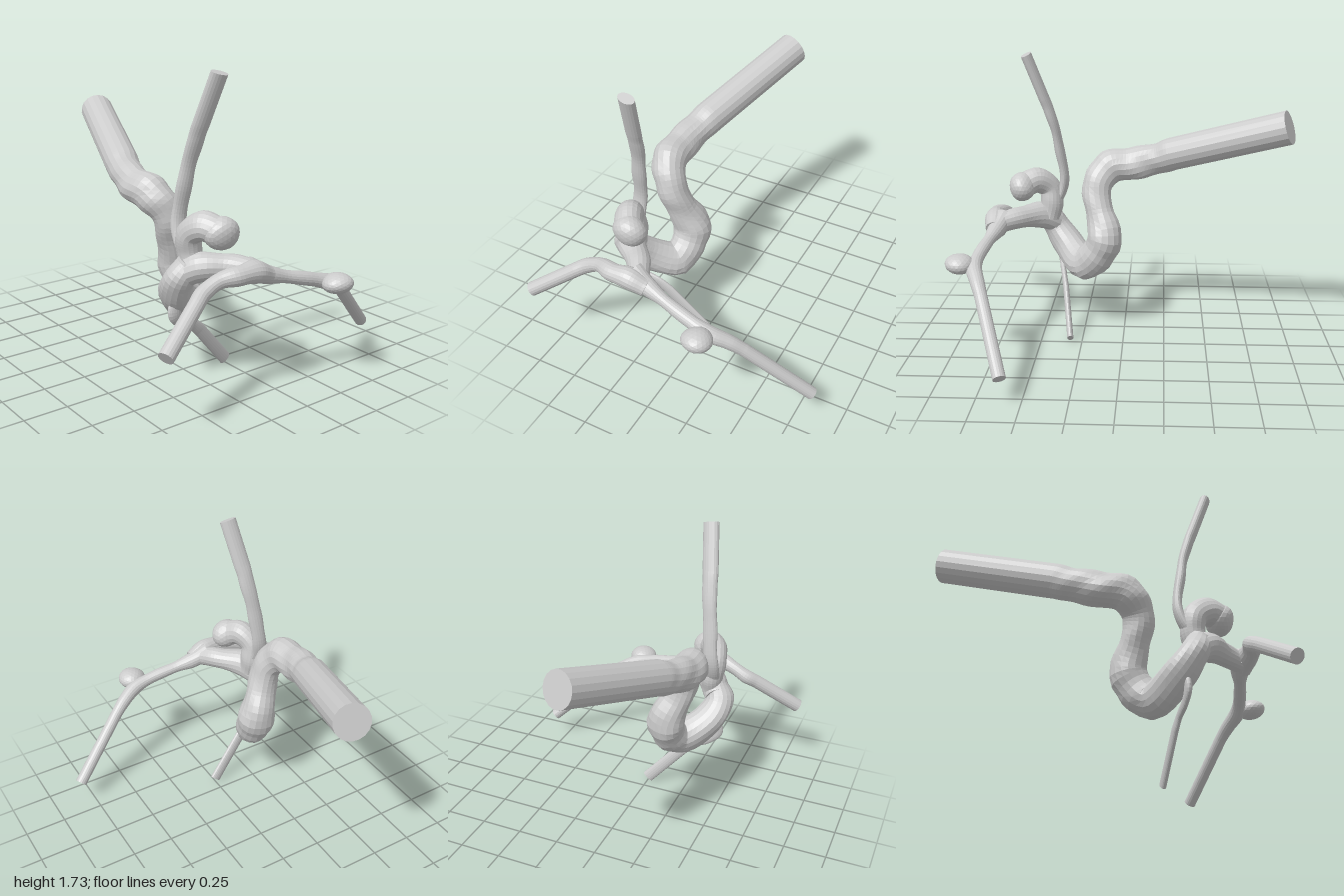
import * as THREE from 'three';

const material = new THREE.MeshStandardMaterial({ color: 0xcccccc, flatShading: true });
const SIDES = 18;

// Gentle organic unevenness, repeatable from position
const wobble = (p) =>
  Math.sin(p.x * 31 + p.y * 17) * 0.5 + Math.sin(p.y * 37 - p.z * 23 + 1) * 0.5;

// Swept vessel. Points are [x, y, z, radius]; with a straight end, the last
// point closes a plain cylinder. flat < 1 thins the section along z.
function vessel(name, points, { straight = true, flat = 1, bumps = 0.07, steps = 6 } = {}) {
  const soft = straight ? points.slice(0, -1) : points;
  const curve = new THREE.CatmullRomCurve3(soft.map((p) => new THREE.Vector3(p[0], p[1], p[2])));
  const count = (soft.length - 1) * steps;
  const rings = [];
  for (let i = 0; i <= count; i++) {
    const k = Math.min(Math.floor(i / steps), soft.length - 2);
    const f = i / steps - k;
    rings.push({
      c: curve.getPoint(i / count),
      r: THREE.MathUtils.lerp(soft[k][3], soft[k + 1][3], f * f * (3 - 2 * f)),
      b: straight ? bumps * Math.min(1, (count - i) / steps) : bumps,
    });
  }
  if (straight) {
    const e = points[points.length - 1];
    rings.push({ c: new THREE.Vector3(e[0], e[1], e[2]), r: e[3], b: 0 });
  }

  const pos = [], index = [];
  const thin = new THREE.Vector3(0, 0, 1);
  const n = rings.length;
  rings.forEach((ring, i) => {
    const t = rings[Math.min(i + 1, n - 1)].c.clone().sub(rings[Math.max(i - 1, 0)].c).normalize();
    if (i === 0 && Math.abs(t.z) > 0.9) thin.set(1, 0, 0);
    thin.addScaledVector(t, -thin.dot(t)).normalize(); // carry the frame along
    const wide = new THREE.Vector3().crossVectors(t, thin);
    for (let j = 0; j < SIDES; j++) {
      const a = (j / SIDES) * Math.PI * 2;
      const d = thin.clone().multiplyScalar(Math.cos(a) * flat).addScaledVector(wide, Math.sin(a));
      const p = ring.c.clone().addScaledVector(d, ring.r);
      p.addScaledVector(d, ring.r * ring.b * wobble(p));
      pos.push(p.x, p.y, p.z);
    }
  });
  for (let i = 0; i < n - 1; i++) {
    for (let j = 0; j < SIDES; j++) {
      const a = i * SIDES + j, b = i * SIDES + ((j + 1) % SIDES);
      index.push(a, b, a + SIDES, b, b + SIDES, a + SIDES);
    }
  }
  // End discs
  const s = pos.length / 3, first = rings[0].c, last = rings[n - 1].c;
  pos.push(first.x, first.y, first.z, last.x, last.y, last.z);
  for (let j = 0; j < SIDES; j++) {
    const k = (j + 1) % SIDES, o = (n - 1) * SIDES;
    index.push(s, k, j, s + 1, o + j, o + k);
  }
  const geo = new THREE.BufferGeometry();
  geo.setAttribute('position', new THREE.Float32BufferAttribute(pos, 3));
  geo.setIndex(index);
  geo.computeVertexNormals();
  const mesh = new THREE.Mesh(geo, material);
  mesh.name = name;
  return mesh;
}

// Rounded, slightly lumpy swelling
function bulge(name, [x, y, z], [rx, ry, rz]) {
  const geo = new THREE.IcosahedronGeometry(1, 3);
  geo.scale(rx, ry, rz).translate(x, y, z);
  const at = geo.attributes.position, c = new THREE.Vector3(x, y, z), p = new THREE.Vector3();
  for (let i = 0; i < at.count; i++) {
    p.fromBufferAttribute(at, i);
    const f = 1 + 0.07 * wobble(p);
    p.sub(c).multiplyScalar(f).add(c);
    at.setXYZ(i, p.x, p.y, p.z);
  }
  geo.computeVertexNormals();
  const mesh = new THREE.Mesh(geo, material);
  mesh.name = name;
  return mesh;
}

export function createModel() {
  const model = new THREE.Group();
  model.name = 'vesselTree';
  model.add(
    // Thick S-shaped vessel ending in a long straight inlet
    vessel('mainVessel', [
      [-0.38, 0.73, 0.49, 0.07], [-0.42, 0.64, 0.45, 0.085], [-0.38, 0.53, 0.37, 0.095],
      [-0.23, 0.435, 0.24, 0.102], [-0.19, 0.6, 0.12, 0.11], [-0.25, 0.77, 0.155, 0.088],
      [-0.3, 0.92, 0.17, 0.09], [-0.35, 1.02, 0.09, 0.104], [-0.355, 1.04, -0.04, 0.1],
      [-0.32, 1.085, -0.2, 0.095], [-0.29, 1.12, -0.29, 0.1], [-0.05, 1.33, -0.955, 0.1],
    ]),
    // Short trunk running forward to the fork
    vessel('forkTrunk', [
      [-0.41, 0.66, 0.45, 0.08], [-0.35, 0.71, 0.53, 0.083], [-0.24, 0.72, 0.64, 0.068],
      [-0.17, 0.71, 0.74, 0.06], [-0.14, 0.7, 0.79, 0.04],
    ], { straight: false }),
    vessel('rightBranch', [
      [-0.1, 0.69, 0.78, 0.05], [-0.2, 0.725, 0.79, 0.062], [-0.3, 0.73, 0.795, 0.052],
      [-0.41, 0.71, 0.76, 0.042], [-0.5, 0.665, 0.755, 0.042], [-0.56, 0.63, 0.78, 0.042],
      [-0.82, 0.455, 0.885, 0.042],
    ]),
    vessel('leftBranch', [
      [-0.2, 0.73, 0.74, 0.06], [-0.1, 0.69, 0.765, 0.05], [0.03, 0.65, 0.795, 0.035],
      [0.18, 0.615, 0.82, 0.038], [0.3, 0.575, 0.825, 0.045], [0.4, 0.53, 0.79, 0.04],
      [0.48, 0.47, 0.755, 0.036], [0.825, 0.155, 0.605, 0.036],
    ]),
    bulge('leftBranchSwelling', [0.28, 0.595, 0.91], [0.085, 0.057, 0.083]),
    // Hooked swelling above the trunk
    vessel('hookedSwelling', [
      [-0.36, 0.7, 0.48, 0.07], [-0.36, 0.79, 0.46, 0.068], [-0.37, 0.88, 0.47, 0.07],
      [-0.34, 0.935, 0.55, 0.078], [-0.3, 0.915, 0.62, 0.078],
    ], { straight: false }),
    bulge('hookedSwellingTip', [-0.285, 0.905, 0.63], [0.1, 0.092, 0.078]),
    // Flattened side vessels
    vessel('upperBranch', [
      [-0.36, 0.76, 0.46, 0.05], [-0.375, 0.85, 0.4, 0.048], [-0.37, 0.95, 0.378, 0.045],
      [-0.355, 1.1, 0.4, 0.045], [-0.335, 1.25, 0.425, 0.045], [-0.32, 1.38, 0.462, 0.048],
      [-0.31, 1.45, 0.488, 0.05], [-0.27, 1.715, 0.585, 0.05],
    ], { flat: 0.62 }),
    vessel('lowerBranch', [
      [-0.4, 0.52, 0.4, 0.045], [-0.425, 0.43, 0.41, 0.04], [-0.38, 0.375, 0.4, 0.036],
      [-0.28, 0.33, 0.38, 0.034], [-0.22, 0.275, 0.365, 0.037], [0, 0.028, 0.32, 0.038],
    ], { flat: 0.5 }),
  );
  return model;
}
